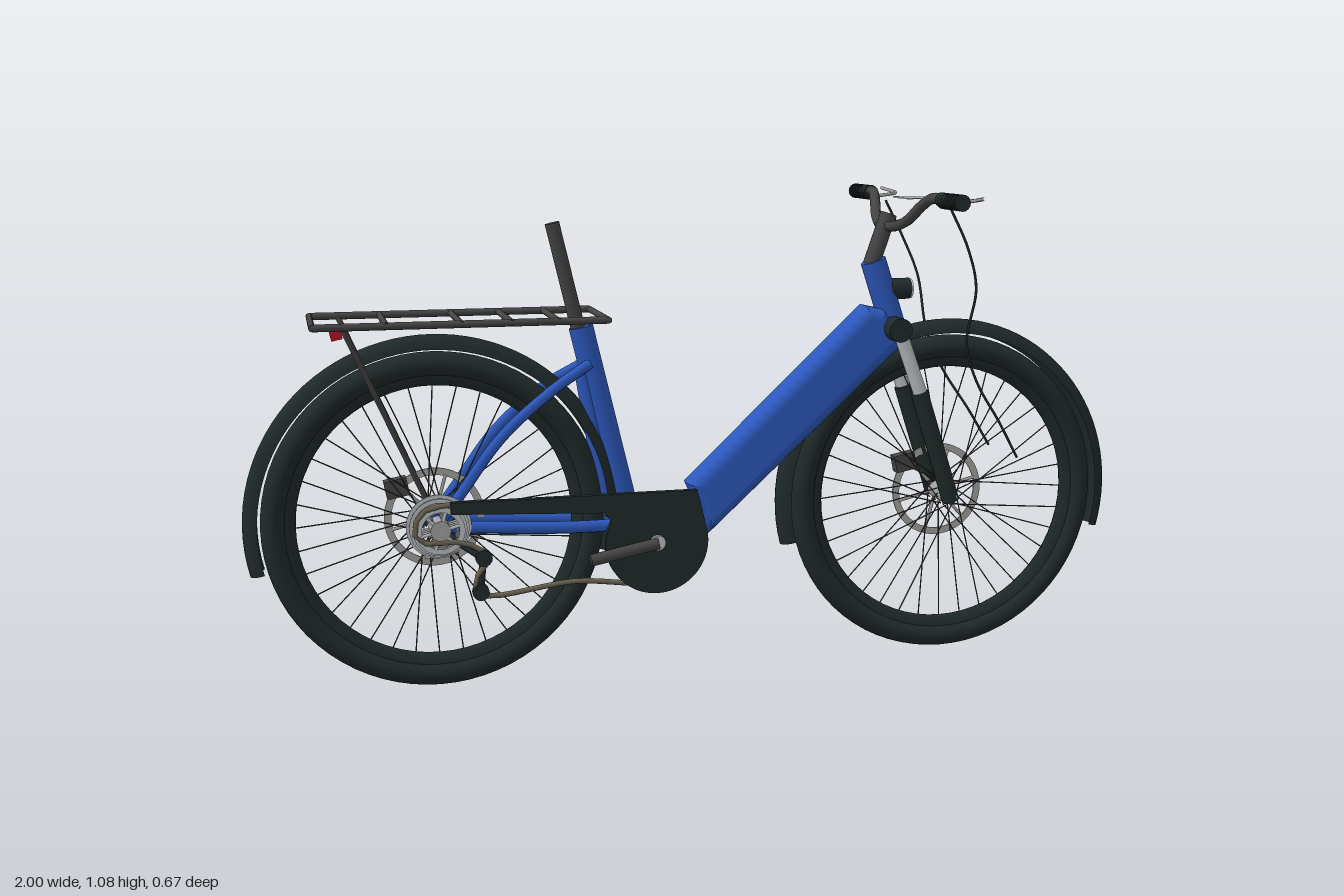
import * as THREE from 'three';

const mat = (name, color, side = THREE.FrontSide) => {
  const m = new THREE.MeshStandardMaterial({ color, side });
  m.name = name;
  return m;
};

export function createModel() {
  const model = new THREE.Group();
  model.name = 'bicycle';
  const blue = mat('frame blue', 0x2c58bc);
  const black = mat('rubber black', 0x202a2a, THREE.DoubleSide);
  const dark = mat('dark grey metal', 0x444444);
  const silver = mat('silver', 0xbcc0c4);
  const glass = mat('pale glass', 0xccd6da);
  const steel = mat('steel', 0xa2a2a0);
  const chainMat = mat('chain brown', 0x6a6252);
  const red = mat('reflector red', 0xb8142a);

  const V = (p) => new THREE.Vector3(...p);
  const add = (name, geo, material, parent = model) => {
    const m = new THREE.Mesh(geo, material);
    m.name = name;
    parent.add(m);
    return m;
  };
  // straight round bar between two points
  const rod = (name, a, b, r, material, parent = model, sides = 16) => {
    const d = V(b).sub(V(a));
    const m = add(name, new THREE.CylinderGeometry(r, r, d.length(), sides), material, parent);
    m.position.copy(V(a)).addScaledVector(d, 0.5);
    m.quaternion.setFromUnitVectors(new THREE.Vector3(0, 1, 0), d.normalize());
  };
  // smooth bent tube through points
  const tube = (name, pts, r, material, closed = false) =>
    add(name, new THREE.TubeGeometry(new THREE.CatmullRomCurve3(pts.map(V), closed, 'centripetal'), 48, r, 8, closed), material);
  const box = (name, size, pos, material, tilt = 0) => {
    const m = add(name, new THREE.BoxGeometry(...size), material);
    m.position.set(...pos);
    m.rotation.z = tilt;
  };
  // side outline extruded symmetrically about z = 0, with rounded edges
  const slab = (name, pts, half, bevel, material) => {
    const shape = new THREE.Shape(pts.map((p) => new THREE.Vector2(...p)));
    const geo = new THREE.ExtrudeGeometry(shape, {
      depth: 2 * (half - bevel), bevelEnabled: true, bevelSize: bevel, bevelThickness: bevel,
      bevelOffset: -bevel, bevelSegments: 5,
    });
    add(name, geo.translate(0, 0, bevel - half), material);
  };
  // flat ring with spider arms, used for rotors, sprockets and the chainring
  const spokedRing = (name, x, y, z, rOut, rIn, depth, arms, material) => {
    const g = new THREE.Group();
    g.name = name;
    g.position.set(x, y, z);
    const s = new THREE.Shape().absarc(0, 0, rOut, 0, Math.PI * 2);
    s.holes.push(new THREE.Path().absarc(0, 0, rIn, 0, Math.PI * 2, true));
    add('ring', new THREE.ExtrudeGeometry(s, { depth, bevelEnabled: false, curveSegments: 24 }).translate(0, 0, -depth / 2), material, g);
    for (let i = 0; i < arms; i++) {
      const a = (i / arms) * Math.PI * 2 + 0.25;
      rod('arm', [0, 0, 0], [rIn * 1.03 * Math.cos(a), rIn * 1.03 * Math.sin(a), 0], 0.004, material, g, 6);
    }
    model.add(g);
  };

  // wheels with fenders, hubs, spokes and brake rotors
  const axleY = 0.374, rearX = -0.59, frontX = 0.59;
  for (const [label, cx] of [['rear', rearX], ['front', frontX]]) {
    const w = new THREE.Group();
    w.name = label + 'Wheel';
    w.position.set(cx, axleY, 0);
    model.add(w);
    add('tyre', new THREE.TorusGeometry(0.345, 0.027, 14, 72), black, w);
    const rim = [[0.322, -0.016], [0.304, -0.013], [0.298, 0], [0.304, 0.013], [0.322, 0.016]];
    add('rim', new THREE.LatheGeometry(rim.map((p) => new THREE.Vector2(...p)), 64).rotateX(Math.PI / 2), black, w);
    const arc = [];
    for (let i = 0; i <= 8; i++) {
      const t = (i / 8) * Math.PI;
      arc.push(new THREE.Vector2(0.378 + 0.031 * Math.sin(t), -0.028 * Math.cos(t)));
    }
    add('fender', new THREE.LatheGeometry(arc, 56, Math.PI / 2 - 0.25, Math.PI + 0.5).rotateX(Math.PI / 2), black, w);
    rod('hub', [0, 0, -0.04], [0, 0, 0.04], 0.02, steel, w);
    rod('axle', [0, 0, -0.07], [0, 0, 0.07], 0.01, silver, w);
    for (let i = 0; i < 36; i++) {
      const a = (i / 36) * Math.PI * 2, side = i % 2 ? 1 : -1;
      const b = a + (i % 4 < 2 ? 1.1 : -1.1);
      rod('spoke', [0.024 * Math.cos(b), 0.024 * Math.sin(b), 0.03 * side],
        [0.303 * Math.cos(a), 0.303 * Math.sin(a), 0], 0.0015, dark, w, 5);
    }
    spokedRing(label + 'Rotor', cx, axleY, -0.036, 0.11, 0.094, 0.004, 6, steel);
    box(label + 'Caliper', [0.05, 0.04, 0.03], [cx - 0.08, axleY + 0.068, -0.045], dark, 0.2);
  }

  // frame
  slab('downTube', [[-0.03, 0.43], [0.385, 0.82], [0.43, 0.81], [0.475, 0.74], [0.465, 0.72], [0.02, 0.315]], 0.04, 0.026, blue);
  slab('bottomBracketShell', [[-0.2, 0.41], [-0.1, 0.4], [-0.03, 0.405], [0.05, 0.4], [0.06, 0.36], [0.02, 0.315],
    [-0.03, 0.295], [-0.13, 0.28], [-0.18, 0.33]], 0.037, 0.022, blue);
  rod('seatTube', [-0.265, 0.79, 0], [-0.165, 0.37, 0], 0.027, blue, model, 24);
  rod('seatTubeBrace', [-0.262, 0.7, 0], [-0.208, 0.37, 0], 0.02, blue, model, 20);
  rod('headTube', [0.46, 0.765, 0], [0.408, 0.92, 0], 0.029, blue, model, 24);
  rod('seatPost', [-0.265, 0.76, 0], [-0.325, 1.015, 0], 0.016, dark);
  for (const s of [-1, 1]) {
    tube('seatStay', [[-0.25, 0.71, 0.022 * s], [-0.34, 0.655, 0.045 * s], [-0.45, 0.56, 0.05 * s], [-0.54, 0.44, 0.048 * s], [-0.59, 0.374, 0.046 * s]], 0.012, blue);
    tube('chainStay', [[-0.14, 0.35, 0.035 * s], [-0.3, 0.352, 0.045 * s], [-0.59, 0.37, 0.046 * s]], 0.014, blue);
    box('dropout', [0.05, 0.045, 0.01], [-0.585, 0.376, 0.046 * s], blue);
  }

  // fork
  rod('forkCrown', [0.45, 0.768, -0.078], [0.45, 0.768, 0.078], 0.027, black, model, 24);
  for (const s of [-1, 1]) {
    rod('forkStanchion', [0.458, 0.755, 0.055 * s], [0.515, 0.6, 0.055 * s], 0.016, silver);
    rod('forkLeg', [0.506, 0.622, 0.053 * s], [0.59, 0.365, 0.053 * s], 0.02, black);
  }

  // headlight
  rod('headlightBody', [0.44, 0.855, 0], [0.495, 0.855, 0], 0.024, black, model, 20);
  rod('headlightLens', [0.494, 0.855, 0], [0.499, 0.855, 0], 0.023, glass, model, 20);

  // stem, handlebar and display
  rod('stem', [0.403, 0.91, 0], [0.443, 1.025, 0], 0.019, dark);
  const half = [[0.44, 1.0, 0.05], [0.45, 1.015, 0.1], [0.463, 1.047, 0.145], [0.472, 1.065, 0.18], [0.48, 1.067, 0.23]];
  const mirror = ([x, y, z]) => [x, y, -z];
  tube('handlebar', [...half.map(mirror).reverse(), [0.438, 0.998, 0], ...half], 0.012, dark);
  box('display', [0.06, 0.003, 0.09], [0.5, 1.06, 0], glass);
  for (const s of [-1, 1]) {
    rod('grip', [0.48, 1.065, 0.22 * s], [0.482, 1.061, 0.333 * s], 0.016, black);
    for (let i = 0; i < 7; i++) {
      const z = 0.23 + i * 0.016;
      rod('gripRib', [0.481, 1.063, z * s], [0.481, 1.063, (z + 0.008) * s], 0.0175, black);
    }
    tube('brakeLever', [[0.48, 1.055, 0.2 * s], [0.525, 1.06, 0.205 * s], [0.545, 1.062, 0.23 * s], [0.54, 1.07, 0.31 * s]], 0.004, steel);
    tube('brakeCable', [[0.51, 1.045, 0.2 * s], [0.553, 0.96, 0.197 * s], [0.585, 0.87, 0.175 * s], [0.59, 0.74, 0.12 * s],
      [0.625, 0.65, 0.1 * s], [0.69, 0.55, 0.088 * s], [0.74, 0.465, 0.08 * s]], 0.003, black);
  }

  // luggage rack
  const rackY = 0.815;
  for (const s of [-1, 1]) {
    rod('rackRail', [-0.84, rackY, 0.11 * s], [-0.225, rackY, 0.11 * s], 0.008, dark);
    rod('rackStrut', [-0.78, rackY, 0.108 * s], [-0.6, 0.4, 0.036 * s], 0.006, dark);
  }
  for (const x of [-0.84, -0.69, -0.535, -0.43, -0.33, -0.225])
    rod('rackBar', [x, rackY, -0.116], [x, rackY, 0.116], 0.007, dark);
  box('rearReflector', [0.024, 0.027, 0.055], [-0.79, 0.792, 0], red, 0.2);

  // chain guard: round cover with a long arm over the chain
  const guard = new THREE.Shape();
  guard.moveTo(-0.57, 0.415);
  guard.lineTo(-0.24, 0.4);
  guard.absarc(-0.125, 0.328, 0.114, Math.PI * 0.85, Math.PI * 2.1, false);
  guard.lineTo(-0.035, 0.44);
  guard.lineTo(-0.57, 0.44);
  add('chainGuard', new THREE.ExtrudeGeometry(guard, { depth: 0.015, bevelEnabled: false, curveSegments: 32 }).translate(0, 0, 0.117), black);

  // drivetrain
  const bbX = -0.125, bbY = 0.328, chainZ = 0.102;
  spokedRing('chainring', bbX, bbY, chainZ, 0.096, 0.072, 0.008, 5, silver);
  for (let i = 0; i < 4; i++)
    spokedRing('sprocket', rearX, axleY, 0.058 + i * 0.0147, 0.07 - i * 0.006, 0.04, 0.004, 6, silver);
  rod('freewheel', [rearX, axleY, 0.04], [rearX, axleY, 0.106], 0.022, steel);
  rod('crankAxle', [bbX, bbY, -0.14], [bbX, bbY, 0.14], 0.017, silver);
  rod('rightCrank', [bbX, bbY, 0.14], [-0.275, 0.3, 0.145], 0.013, dark);
  rod('leftCrank', [bbX, bbY, -0.14], [0.03, 0.357, -0.137], 0.013, dark);
  const chain = [[-0.59, 0.428], [-0.35, 0.428], [-0.125, 0.426], [-0.055, 0.397], [-0.027, 0.328], [-0.055, 0.259], [-0.125, 0.231],
    [-0.3, 0.245], [-0.505, 0.228], [-0.523, 0.255], [-0.49, 0.31], [-0.54, 0.345], [-0.64, 0.355], [-0.635, 0.41]];
  tube('chain', chain.map(([x, y]) => [x, y, chainZ]), 0.006, chainMat, true);
  rod('derailleurHanger', [-0.585, 0.365, 0.06], [-0.505, 0.31, 0.095], 0.008, black);
  rod('derailleurCage', [-0.5, 0.31, 0.095], [-0.508, 0.235, 0.095], 0.008, black);
  for (const [x, y] of [[-0.5, 0.31], [-0.508, 0.235]])
    rod('derailleurPulley', [x, y, 0.093], [x, y, 0.111], 0.018, black);

  return model;
}
